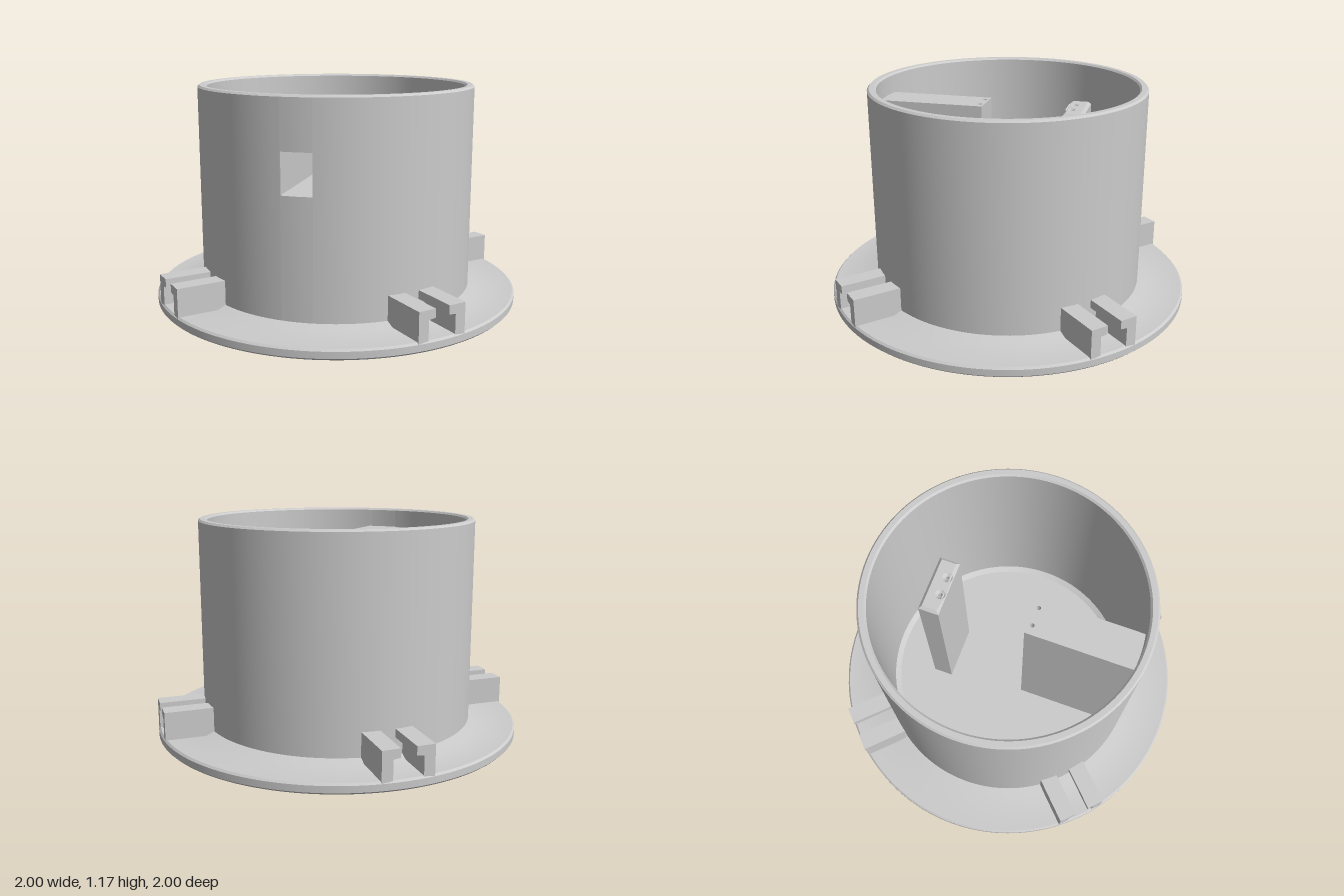
import * as THREE from 'three';
import { toCreasedNormals } from 'three/addons/utils/BufferGeometryUtils.js';

const material = new THREE.MeshStandardMaterial({ color: 0xcccccc });
const R_OUT = 0.747, R_IN = 0.70, TOP = 1.175, FLOOR = 0.055, POST_TOP = 1.065;
const WIN = { x0: -0.075, x1: 0.085, y0: 0.70, y1: 0.91 };

function part(name, geometry) {
  const mesh = new THREE.Mesh(toCreasedNormals(geometry, 0.5), material);
  mesh.name = name;
  return mesh;
}

function lathe(points, segments, start = 0, length = Math.PI * 2) {
  return new THREE.LatheGeometry(points.map(p => new THREE.Vector2(...p)), segments, start, length);
}

function polygon(points) {
  return new THREE.Shape(points.map(p => new THREE.Vector2(...p)));
}

const rect = (x0, y0, x1, y1) => [[x0, y0], [x1, y0], [x1, y1], [x0, y1]];

// Plan outline (x, -z) with two small round holes, extruded upwards
function drilledBlock(x0, z0, x1, z1, holeZ, y0, y1, bevel) {
  const shape = polygon(rect(x0, -z1, x1, -z0));
  for (const x of [-0.05, 0.05]) {
    shape.holes.push(new THREE.Path().absarc(x, -holeZ, 0.012, 0, Math.PI * 2, true));
  }
  const geometry = new THREE.ExtrudeGeometry(shape, {
    depth: y1 - y0 - 2 * bevel, bevelEnabled: bevel > 0, bevelSize: bevel,
    bevelThickness: bevel, bevelOffset: -bevel, bevelSegments: 1, curveSegments: 8,
  });
  return geometry.rotateX(-Math.PI / 2).translate(0, y0 + bevel, 0);
}

export function createModel() {
  const group = new THREE.Group();

  // Round base flange, with small fillets where the wall meets it
  group.add(part('baseFlange', lathe([
    [0, 0], [0.99, 0], [1, 0.01], [1, 0.045], [0.99, FLOOR], [0.79, FLOOR],
    [R_OUT, 0.075], [R_IN, 0.075], [0.67, FLOOR], [0, FLOOR],
  ], 128)));

  // Cylindrical wall, split around the front window
  const a0 = Math.asin(WIN.x0 / R_OUT), a1 = Math.asin(WIN.x1 / R_OUT);
  const ring = (y0, y1, c) => [
    [R_IN, y0], [R_OUT, y0], [R_OUT, y1 - c], [R_OUT - c, y1],
    [R_IN + c, y1], [R_IN, y1 - c], [R_IN, y0],
  ];
  const wall = new THREE.Group();
  wall.name = 'wall';
  wall.add(
    part('wallMain', lathe(ring(0.04, TOP, 0.01), 124, a1, Math.PI * 2 - (a1 - a0))),
    part('wallBelowWindow', lathe(ring(0.04, WIN.y0, 0), 4, a0, a1 - a0)),
    part('wallAboveWindow', lathe(ring(WIN.y1, TOP, 0.01), 4, a0, a1 - a0)),
  );
  group.add(wall);

  // Inner block carrying a tunnel from the window towards the centre
  const section = polygon(rect(-0.10, 0.04, 0.10, 1.0));
  section.holes.push(polygon(rect(WIN.x0, WIN.y0, WIN.x1, WIN.y1)));
  const tunnel = new THREE.ExtrudeGeometry(section, { depth: 0.615, bevelEnabled: false });
  group.add(part('tunnelBlock', tunnel.translate(0, 0, 0.12)));
  group.add(part('tunnelCap', drilledBlock(-0.10, 0.12, 0.10, 0.72, 0.145, 1.0, POST_TOP, 0)));

  // Free-standing post facing the tunnel
  group.add(part('post', drilledBlock(-0.155, -0.43, 0.15, -0.32, -0.35, 0.04, POST_TOP, 0.015)));

  // Four slotted brackets on the diagonals, each a mirrored pair of hooked rails
  const rail = [[0.135, 0.04], [0.135, 0.205], [0.04, 0.205], [0.04, 0.16], [0.078, 0.155], [0.078, 0.04]];
  for (let i = 0; i < 4; i++) {
    const bracket = new THREE.Group();
    bracket.name = 'slottedBracket';
    for (const side of [1, -1]) {
      const shape = polygon(rail.map(([x, y]) => [x * side, y]));
      const geometry = new THREE.ExtrudeGeometry(shape, { depth: 0.27, bevelEnabled: false });
      bracket.add(part('rail', geometry.translate(0, 0, 0.72)));
    }
    bracket.rotation.y = Math.PI / 4 + i * Math.PI / 2;
    group.add(bracket);
  }
  return group;
}
